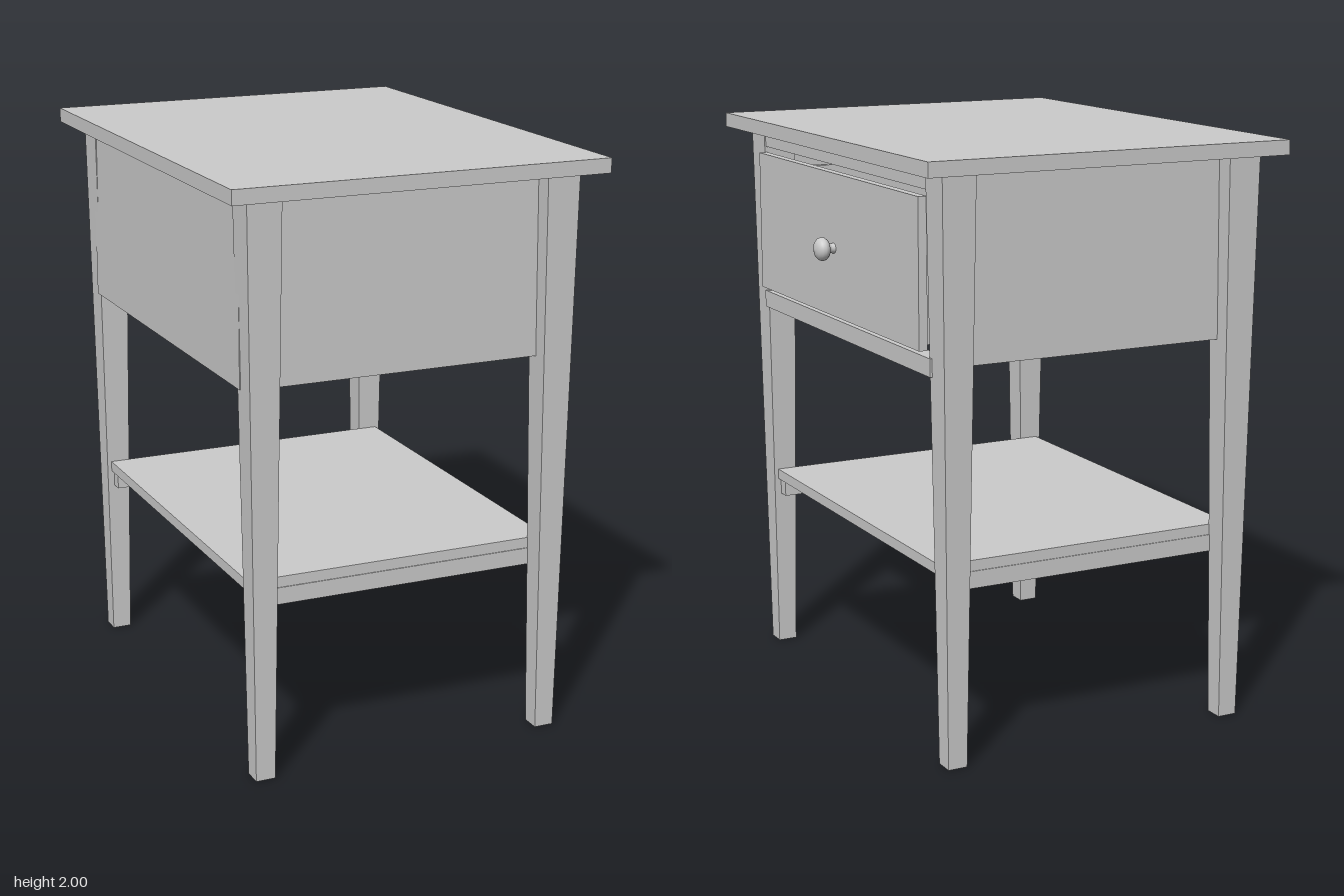
import * as THREE from 'three';

const material = new THREE.MeshStandardMaterial({ color: 0xcccccc });

export function createModel() {
  const model = new THREE.Group();
  model.name = 'sideTable';

  const add = (name, geometry, parent = model) => {
    const mesh = new THREE.Mesh(geometry, material);
    mesh.name = name;
    parent.add(mesh);
    return mesh;
  };
  // Box given by its limits on each axis
  const box = (name, [x0, x1], [y0, y1], [z0, z1], parent) => {
    const mesh = add(name, new THREE.BoxGeometry(x1 - x0, y1 - y0, z1 - z0), parent);
    mesh.position.set((x0 + x1) / 2, (y0 + y1) / 2, (z0 + z1) / 2);
    return mesh;
  };
  // Same box on both z sides
  const pair = (name, x, y, [z0, z1], parent) => {
    box(name + 'Front', x, y, [z0, z1], parent);
    box(name + 'Back', x, y, [-z1, -z0], parent);
  };

  box('tableTop', [-0.665, 0.65], [1.95, 2], [-0.845, 0.845]);

  // Square legs, tapering evenly to the foot
  const legHeight = 1.95, topWidth = 0.118, footWidth = 0.068;
  for (const sx of [-1, 1]) for (const sz of [-1, 1]) {
    const geometry = new THREE.BoxGeometry(topWidth, legHeight, topWidth).toNonIndexed();
    const p = geometry.attributes.position;
    for (let i = 0; i < p.count; i++) {
      if (p.getY(i) > 0) continue;
      p.setX(i, p.getX(i) * footWidth / topWidth);
      p.setZ(i, p.getZ(i) * footWidth / topWidth);
    }
    geometry.computeVertexNormals();
    add('leg', geometry).position.set(-0.01 + sx * 0.523, legHeight / 2, sz * 0.725);
  }

  // Case: side panels, rear panel, rails around the drawer, runners
  pair('sidePanel', [-0.54, 0.52], [1.33, 1.95], [0.69, 0.72]);
  box('rearPanel', [-0.588, -0.555], [1.33, 1.95], [-0.7, 0.7]);
  box('upperRail', [0.52, 0.567], [1.89, 1.95], [-0.69, 0.69]);
  box('lowerRail', [0.515, 0.572], [1.30, 1.36], [-0.69, 0.69]);
  pair('drawerRunner', [-0.555, 0.515], [1.36, 1.39], [0.6, 0.69]);

  // Drawer: tray, face board and knob
  const drawer = new THREE.Group();
  drawer.name = 'drawer';
  model.add(drawer);
  box('drawerBottom', [-0.54, 0.57], [1.39, 1.41], [-0.62, 0.62], drawer);
  pair('drawerSide', [-0.54, 0.57], [1.41, 1.82], [0.59, 0.62], drawer);
  box('drawerBack', [-0.54, -0.51], [1.41, 1.82], [-0.59, 0.59], drawer);
  box('drawerFace', [0.565, 0.595], [1.38, 1.87], [-0.66, 0.66], drawer);

  const knobProfile = [
    [0.018, 0], [0.016, 0.012], [0.016, 0.022], [0.03, 0.026], [0.038, 0.035],
    [0.04, 0.044], [0.037, 0.055], [0.028, 0.064], [0.015, 0.069], [0, 0.071],
  ].map(([r, h]) => new THREE.Vector2(r, h));
  const knob = add('knob', new THREE.LatheGeometry(knobProfile, 32), drawer);
  knob.rotation.z = -Math.PI / 2;
  knob.position.set(0.594, 1.615, 0);

  // Lower shelf resting on two bearers fixed inside the legs
  box('shelf', [-0.56, 0.54], [0.64, 0.677], [-0.685, 0.685]);
  pair('shelfBearer', [-0.55, 0.53], [0.582, 0.64], [0.64, 0.688]);

  return model;
}
